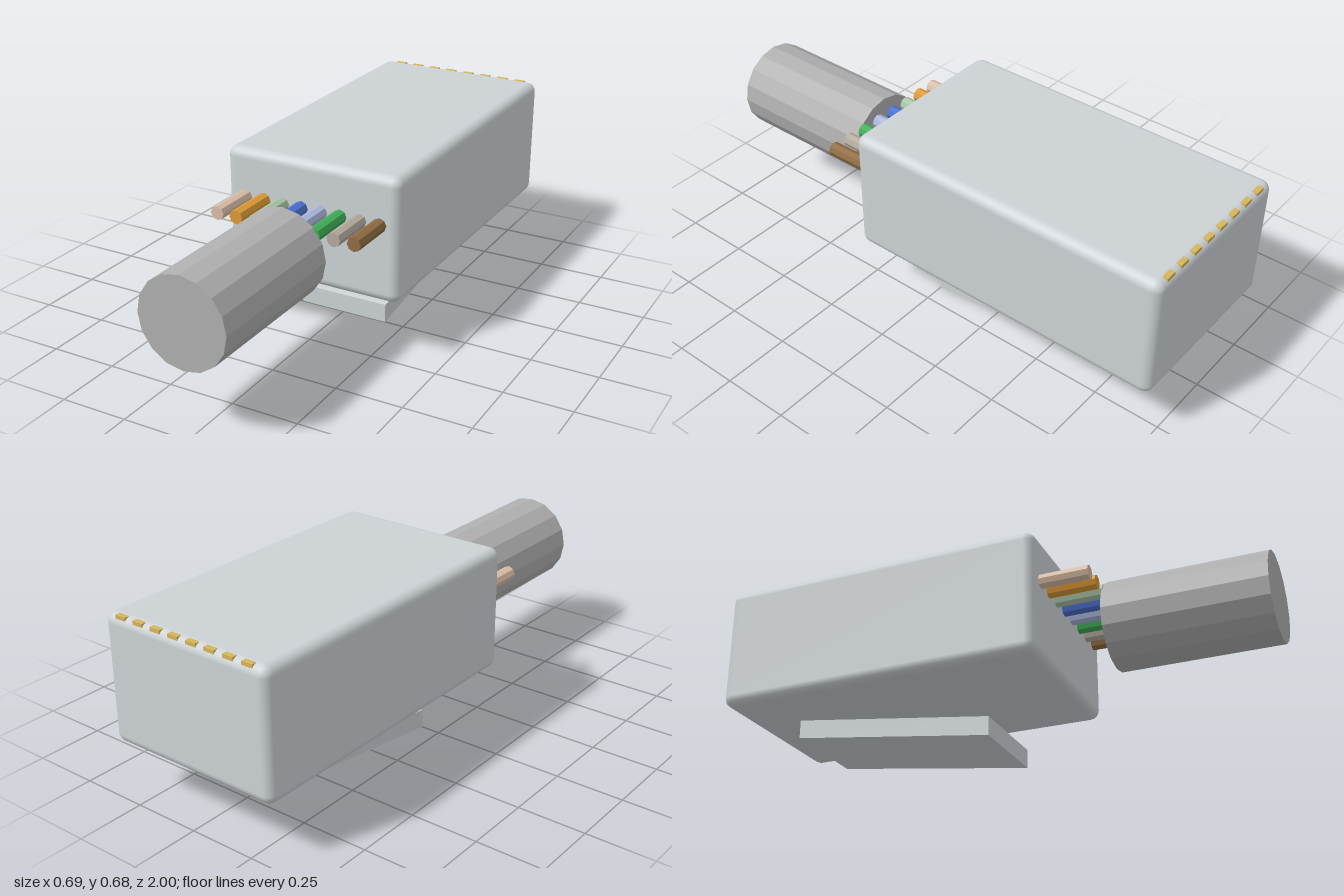
import * as THREE from 'three';
import { RoundedBoxGeometry } from 'three/addons/geometries/RoundedBoxGeometry.js';

const BODY = 0xccd2d5, CABLE = 0xb0b0b0, GOLD = 0xd6b55c;
const WIRES = [0xdabfa6, 0xdd9a35, 0xa9c6a9, 0x4a70d0, 0xaab6dc, 0x40ae58, 0xb5ab9e, 0x8f6c42];

function add(group, name, geometry, color, x, y, z, flatShading = false) {
  const mesh = new THREE.Mesh(geometry, new THREE.MeshStandardMaterial({ color, flatShading }));
  mesh.name = name;
  mesh.position.set(x, y, z);
  group.add(mesh);
  return mesh;
}

// Cylinder lying along z, centred on its own middle
function rod(radius, length, sides) {
  return new THREE.CylinderGeometry(radius, radius, length, sides).rotateX(Math.PI / 2);
}

export function createModel() {
  const model = new THREE.Group();
  model.name = 'networkPlug';

  // Housing with softly rounded edges
  add(model, 'housing', new RoundedBoxGeometry(0.686, 0.467, 1.235, 3, 0.036), BODY, 0, 0.4435, -0.3825);

  // Outer cable jacket
  add(model, 'cable', rod(0.164, 0.587, 16), CABLE, 0, 0.413, 0.7065, true);

  // Eight wires, each with a contact at the far end of the housing
  const wires = new THREE.Group();
  wires.name = 'wires';
  const contacts = new THREE.Group();
  contacts.name = 'contacts';
  model.add(wires, contacts);
  WIRES.forEach((color, i) => {
    const x = -0.265 + i * 0.0764;
    add(wires, 'wire' + (i + 1), rod(0.026, 0.23, 8), color, x, 0.501, 0.3, true);
    add(contacts, 'contact' + (i + 1), new THREE.BoxGeometry(0.042, 0.04, 0.3), GOLD, x, 0.6555, -0.843);
  });

  // Sloping latch with upright ends: a box sheared along its length
  const latch = new THREE.BoxGeometry(0.352, 0.07, 0.76);
  const p = latch.attributes.position;
  for (let i = 0; i < p.count; i++) p.setY(i, p.getY(i) - p.getZ(i) * 0.107 / 0.76);
  latch.computeVertexNormals();
  add(model, 'latch', latch, BODY, 0, 0.0885, -0.38, true);

  return model;
}
